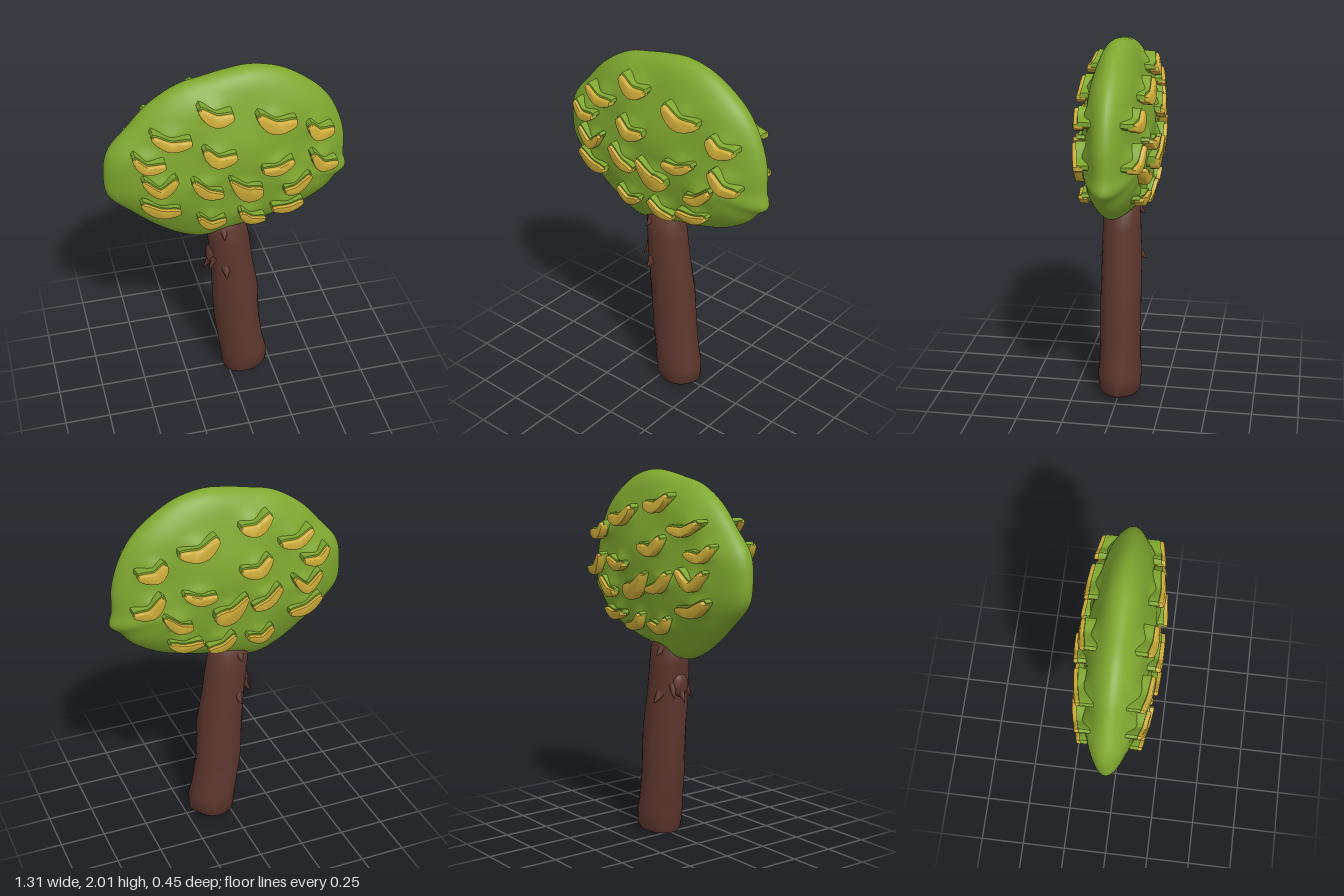
import * as THREE from 'three';
import { mergeVertices, toCreasedNormals } from 'three/addons/utils/BufferGeometryUtils.js';

const leafGreen = new THREE.MeshStandardMaterial({ name: 'leafGreen', color: 0x7fa82f });
const fruitYellow = new THREE.MeshStandardMaterial({ name: 'fruitYellow', color: 0xcdac38 });
const barkBrown = new THREE.MeshStandardMaterial({ name: 'barkBrown', color: 0x5c362d });

const CENTRE_Y = 1.5;

// Crown silhouette, counter-clockwise from the left tip
const OUTLINE = [
  [-.655, 1.47], [-.64, 1.34], [-.52, 1.22], [-.39, 1.11], [-.28, 1.04], [-.15, 1.0], [.09, 1.05],
  [.27, 1.085], [.41, 1.13], [.54, 1.21], [.6, 1.28], [.65, 1.325], [.635, 1.4], [.63, 1.53],
  [.59, 1.67], [.52, 1.79], [.41, 1.89], [.27, 1.97], [.12, 2.0], [0, 1.99], [-.125, 1.967],
  [-.26, 1.935], [-.415, 1.84], [-.53, 1.72], [-.63, 1.6],
];

// Fruit: left end, middle, right end, width
const FRUIT = [
  [-.18, 1.87, -.10, 1.81, -.01, 1.825, .06], [-.42, 1.745, -.33, 1.695, -.225, 1.71, .05],
  [.115, 1.80, .205, 1.73, .32, 1.74, .065], [.39, 1.70, .44, 1.64, .53, 1.645, .06],
  [-.515, 1.63, -.455, 1.57, -.36, 1.59, .05], [-.165, 1.655, -.10, 1.585, .0, 1.605, .06],
  [-.475, 1.495, -.39, 1.42, -.305, 1.50, .05], [.135, 1.495, .22, 1.48, .305, 1.52, .05],
  [.41, 1.525, .47, 1.44, .56, 1.435, .055], [-.225, 1.475, -.16, 1.40, -.07, 1.38, .055],
  [-.035, 1.46, .05, 1.365, .14, 1.365, .1], [.26, 1.335, .33, 1.33, .405, 1.40, .055],
  [-.485, 1.35, -.395, 1.29, -.29, 1.295, .06], [-.195, 1.235, -.135, 1.17, -.05, 1.20, .05],
  [.025, 1.235, .08, 1.17, .165, 1.16, .05], [.2, 1.22, .295, 1.20, .375, 1.23, .05],
];

function moveVertices(geometry, rule) {
  const p = geometry.attributes.position;
  const v = new THREE.Vector3();
  for (let i = 0; i < p.count; i++) {
    rule(v.fromBufferAttribute(p, i), i);
    p.setXYZ(i, v.x, v.y, v.z);
  }
  return geometry;
}

function addMesh(parent, name, geometry, material) {
  const mesh = new THREE.Mesh(geometry, material);
  mesh.name = name;
  parent.add(mesh);
  return mesh;
}

// Flattened, lumpy crown: a sphere with its poles on z, stretched to the silhouette
function crownGeometry() {
  const curve = new THREE.CatmullRomCurve3(OUTLINE.map(([x, y]) => new THREE.Vector3(x, y, 0)), true);
  const g = new THREE.SphereGeometry(1, 112, 56);
  const uv = g.attributes.uv.clone();
  const ring = new THREE.Vector3();
  moveVertices(g, (v, i) => {
    const c = v.y;
    const s = Math.sqrt(Math.max(0, 1 - c * c));
    curve.getPoint(((Math.round(uv.getX(i) * 112) % 112) / 112), ring);
    const x = ring.x * s;
    const y = CENTRE_Y + (ring.y - CENTRE_Y) * s;
    let bump = .008 * Math.sin(9 * x + 1) * Math.sin(13 * y);
    for (const f of FRUIT) {
      const d = (x - f[2]) ** 2 * .5 + (y - f[3] - .03) ** 2;
      bump += .022 * Math.exp(-d / .0016);
    }
    v.set(x, y, .168 * c + bump * Math.sign(c) * Math.min(1, Math.abs(c) * 2));
  });
  g.deleteAttribute('uv');
  g.deleteAttribute('normal');
  const merged = mergeVertices(g, 1e-5);
  merged.computeVertexNormals();
  return merged;
}

// Curved fruit outline, tapering to blunt ends
function fruitShape([x0, y0, x1, y1, x2, y2, w]) {
  const curve = new THREE.SplineCurve([[x0, y0], [x1, y1], [x2, y2]].map(p => new THREE.Vector2(...p)));
  const upper = [], lower = [];
  const N = 12;
  for (let i = 0; i <= N; i++) {
    const t = i / N;
    const p = curve.getPoint(t), d = curve.getTangent(t);
    const lopsided = w > .08 ? .35 + .65 * Math.min(1, t * 1.5) : 1;
    const h = w / 2 * lopsided * Math.pow(Math.sin(Math.PI * (.06 + .88 * t)), .6);
    upper.push(new THREE.Vector2(p.x - d.y * h, p.y + d.x * h));
    lower.unshift(new THREE.Vector2(p.x + d.y * h, p.y - d.x * h));
  }
  return new THREE.Shape([...upper, ...lower]);
}

// Outer face of the fruit follows the swell of the crown
const fruitFace = (x, y) => .228 - .09 * ((x / .64) ** 2 + ((y - CENTRE_Y) / .5) ** 2);

function raised(shape, depth, bevel, sink) {
  const g = new THREE.ExtrudeGeometry(shape, {
    depth, bevelEnabled: bevel > 0, bevelThickness: bevel, bevelSize: bevel, bevelOffset: -bevel, bevelSegments: 2,
  });
  moveVertices(g, v => { v.z += fruitFace(v.x, v.y) - depth - bevel - sink; });
  return toCreasedNormals(g, .8);
}

function fruitSide(name) {
  const side = new THREE.Group();
  side.name = name;
  FRUIT.forEach(f => {
    const shape = fruitShape(f);
    addMesh(side, 'fruit', raised(shape, .035, .008, 0), fruitYellow);
    addMesh(side, 'fruitPad', raised(shape, .1, 0, .02), leafGreen).position.y = .01;
  });
  return side;
}

// Trunk rings from the base up: y, centre x, radius x, radius z
const TRUNK = [
  [.005, .095, .115, .1], [.03, .095, .131, .114], [.12, .09, .134, .122], [.2, .075, .13, .114],
  [.35, .057, .13, .114], [.6, .043, .13, .112], [.8, .02, .117, .11], [.95, .003, .115, .105],
  [1.06, -.01, .11, .1], [1.1, -.015, .085, .075],
];

function trunkGeometry() {
  const rows = TRUNK.length - 1;
  const g = new THREE.CylinderGeometry(1, 1, 1, 24, rows);
  moveVertices(g, v => {
    const [y, cx, rx, rz] = TRUNK[Math.round((v.y + .5) * rows)];
    const a = Math.atan2(v.z, v.x);
    const lump = 1 + .02 * Math.sin(3 * a + y * 9) + .012 * Math.cos(5 * a - y * 14);
    v.set(cx + v.x * rx * lump, y + (y < .01 ? .01 * v.x : 0), v.z * rz * lump);
  });
  return toCreasedNormals(g, .9);
}

// Broken twig: a cone from base to tip
function addTwig(parent, base, tip, radius) {
  const from = new THREE.Vector3(...base), dir = new THREE.Vector3(...tip).sub(from);
  const g = new THREE.ConeGeometry(radius, dir.length(), 10);
  g.translate(0, dir.length() / 2, 0);
  const twig = addMesh(parent, 'twig', g, barkBrown);
  twig.position.copy(from);
  twig.quaternion.setFromUnitVectors(new THREE.Vector3(0, 1, 0), dir.normalize());
}

export function createModel() {
  const tree = new THREE.Group();
  tree.name = 'fruitTree';

  addMesh(tree, 'crown', crownGeometry(), leafGreen);
  const front = fruitSide('frontFruit');
  const back = fruitSide('backFruit');
  back.scale.z = -1;
  tree.add(front, back);

  const trunk = new THREE.Group();
  trunk.name = 'trunkGroup';
  addMesh(trunk, 'trunk', trunkGeometry(), barkBrown);

  // Knot and twigs on the right side of the trunk
  const knot = addMesh(trunk, 'knot', new THREE.SphereGeometry(1, 16, 12), barkBrown);
  knot.position.set(-.093, .85, 0);
  knot.scale.set(.03, .065, .05);
  addTwig(trunk, [-.08, .84, 0], [-.14, .755, 0], .032);
  for (const s of [-1, 1]) {
    addTwig(trunk, [-.03, .8, s * .085], [-.035, .755, s * .135], .028);
    addTwig(trunk, [-.08, .85, s * .04], [-.12, .78, s * .06], .025);
    addTwig(trunk, [-.04, 1.05, s * .08], [-.045, 1.015, s * .125], .025);
  }
  tree.add(trunk);
  return tree;
}
